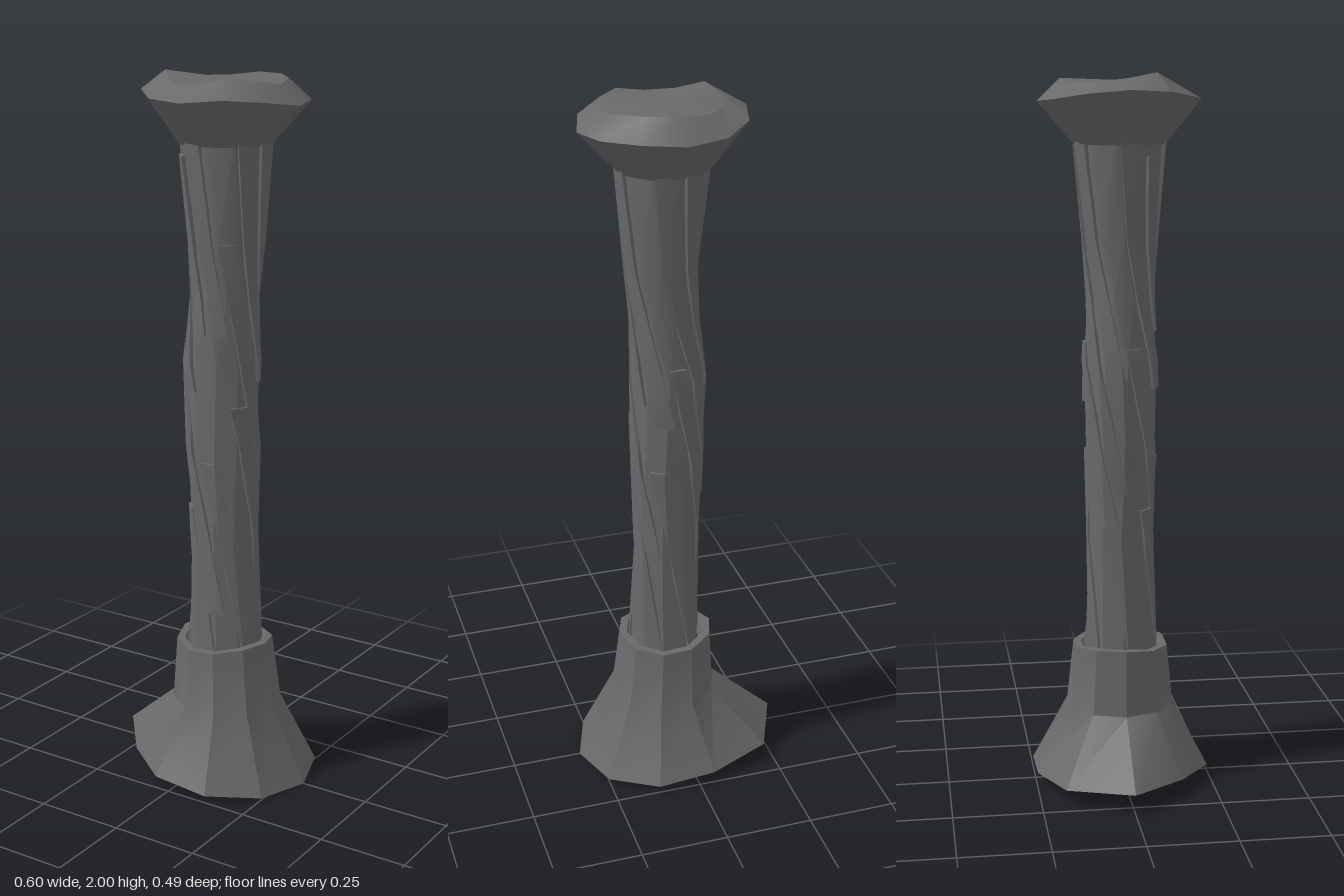
import * as THREE from 'three';
import { toCreasedNormals } from 'three/addons/utils/BufferGeometryUtils.js';

const TAU = Math.PI * 2;
const material = new THREE.MeshStandardMaterial({ color: 0x696969 });

// Skin between stacked rings of [x, y, z]; optional fan caps at either end
function loft(name, rings, capBottom, capTop) {
  const n = rings[0].length;
  const positions = rings.flat(2);
  const index = [];
  for (let i = 0; i < rings.length - 1; i++) {
    for (let j = 0; j < n; j++) {
      const k = (j + 1) % n;
      const a = i * n + j, b = i * n + k, c = a + n, d = b + n;
      index.push(a, c, b, b, c, d);
    }
  }
  const cap = (points, start, up) => {
    const center = [0, 1, 2].map((q) => points.reduce((s, p) => s + p[q], 0) / n);
    const ci = positions.length / 3;
    positions.push(...center);
    for (let j = 0; j < n; j++) {
      const a = start + j, b = start + (j + 1) % n;
      index.push(ci, ...(up ? [b, a] : [a, b]));
    }
  };
  if (capBottom) cap(rings[0], 0, false);
  if (capTop) cap(rings[rings.length - 1], (rings.length - 1) * n, true);
  const geometry = new THREE.BufferGeometry();
  geometry.setAttribute('position', new THREE.Float32BufferAttribute(positions, 3));
  geometry.setIndex(index);
  const mesh = new THREE.Mesh(toCreasedNormals(geometry, 0.45), material);
  mesh.name = name;
  return mesh;
}

// Ring with one point per height, spaced evenly around the axis
function ring(cx, r, heights, turn = 0) {
  return heights.map((y, j) => {
    const t = (j / heights.length) * TAU + turn;
    return [cx + r * Math.cos(t), y, r * Math.sin(t)];
  });
}
const level = (n, y) => Array(n).fill(y);

// Shaft stations: height, radius, centre x, twist
const stations = [
  [0.36, 0.105, 0.033, 0], [0.73, 0.094, 0.028, 0.7], [0.97, 0.102, 0.025, 1.25],
  [1.22, 0.105, 0.021, 1.8], [1.4, 0.094, 0.03, 2.2], [1.55, 0.103, 0.035, 2.5], [1.83, 0.127, 0.032, 2.7],
];

function station(y) {
  let i = 0;
  while (i < stations.length - 2 && y > stations[i + 1][0]) i++;
  const a = stations[i], b = stations[i + 1];
  const f = (y - a[0]) / (b[0] - a[0]);
  return a.map((v, q) => v + (b[q] - v) * f);
}

// Raised strip that follows the twist between two heights
function strip(angle, halfWidth, y0, y1) {
  const heights = [y0, ...stations.map((s) => s[0]).filter((y) => y > y0 + 0.02 && y < y1 - 0.02), y1];
  const rings = heights.map((h) => {
    const [y, r, cx, twist] = station(h);
    const at = (rr, t) => [cx + rr * Math.cos(t), y, rr * Math.sin(t)];
    const t = angle + twist;
    return [at(r * 1.03, t - halfWidth), at(r * 1.03, t + halfWidth),
      at(r * 0.8, t + halfWidth), at(r * 0.8, t - halfWidth)];
  });
  return loft('shaftStrip', rings, true, true);
}

export function createModel() {
  const group = new THREE.Group();
  group.name = 'column';

  // Flared, tilted foot with a collar around the shaft
  const outline = [[0.3, 0], [0.25, 0.15], [0.12, 0.245], [-0.045, 0.245], [-0.18, 0.15],
    [-0.3, 0], [-0.222, -0.183], [-0.045, -0.247], [0.12, -0.247], [0.25, -0.153]];
  const foot = outline.map(([x, z]) => [x, 0.028 - (x > 0 ? 0.09 : 0.1) * x, z]);
  const collarTop = level(10, 0.398).map((y, j) => y + 0.008 * Math.sin(j * TAU / 5 + 1));
  group.add(loft('base', [
    foot,
    ring(0.039, 0.155, level(10, 0.215)),
    ring(0.031, 0.137, collarTop),
    ring(0.031, 0.115, collarTop),
    ring(0.031, 0.1, level(10, 0.36)),
  ], true, false));

  // Twisted shaft
  const shaft = new THREE.Group();
  shaft.name = 'shaft';
  shaft.add(loft('shaftCore',
    stations.map(([y, r, cx, twist]) => ring(cx, r * 0.96, level(10, y), twist)), true, true));

  // Strips of differing lengths, one or two on each face
  const spans = [[0.37, 0.94], [0.5, 1.26], [0.37, 0.8], [0.85, 1.82], [0.37, 1.27],
    [1.1, 1.82], [0.37, 0.96], [0.7, 1.55], [0.37, 1.1], [1.3, 1.78]];
  spans.forEach(([y0, y1], i) => {
    const face = ((i + 0.5) / 10) * TAU;
    shaft.add(strip(face + (i % 2 ? 0.06 : -0.05), 0.2 + 0.03 * (i % 3), y0, y1));
    if (y1 < 1.2) shaft.add(strip(face + 0.05, 0.2, y1 + 0.2, 1.82));
  });
  group.add(shaft);

  // Flared capital with an uneven rim and lip
  const rim = [1.918, 1.932, 1.94, 1.93, 1.935, 1.95, 1.955, 1.945, 1.93, 1.925, 1.93, 1.925];
  const lip = [1.968, 1.982, 1.985, 1.967, 1.972, 2, 1.985, 1.975, 1.975, 1.985, 1.985, 1.98];
  group.add(loft('capital', [
    ring(0.032, 0.127, level(12, 1.81)),
    ring(0.033, 0.226, rim),
    ring(0.035, 0.163, lip),
  ], true, true));

  return group;
}
